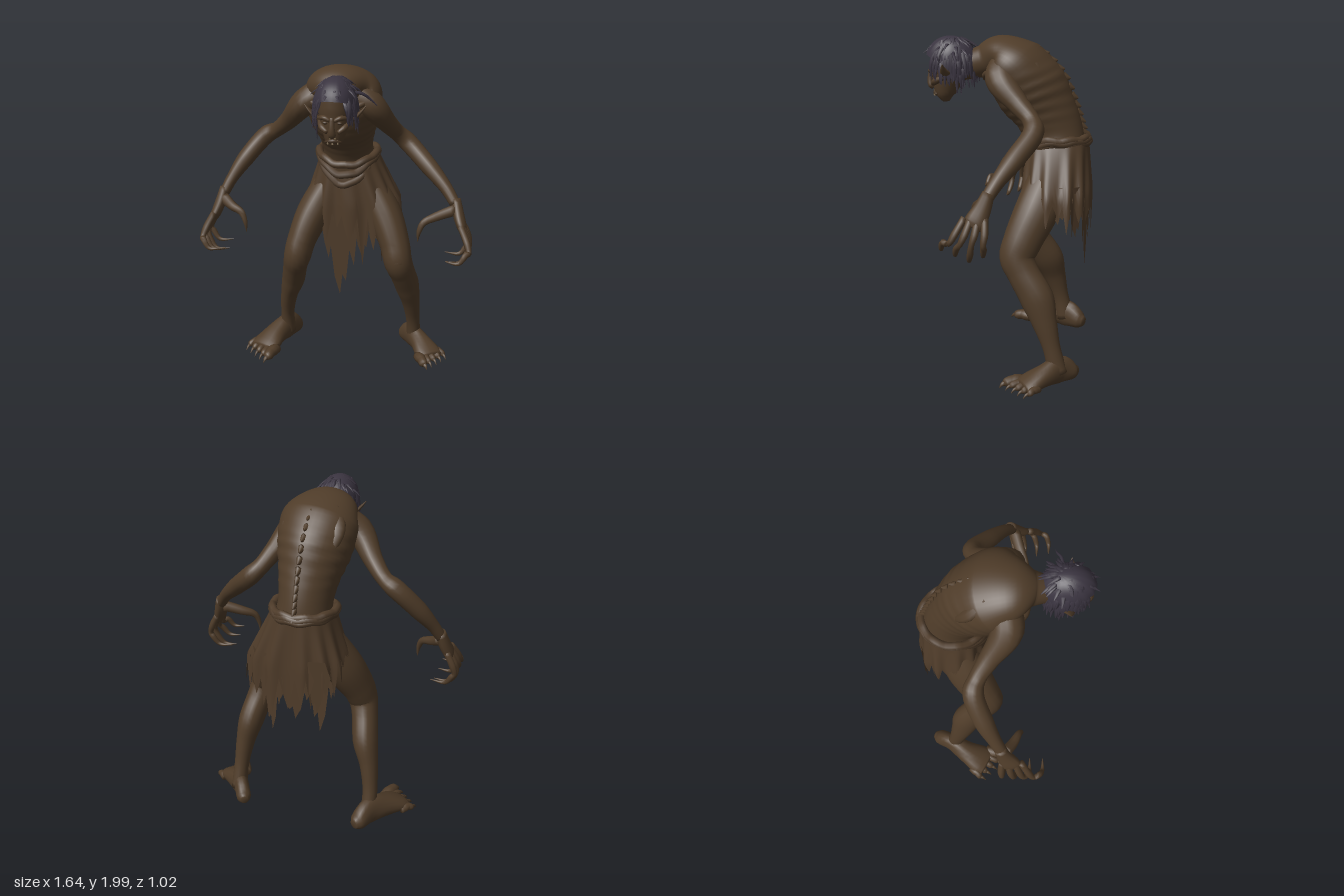
import * as THREE from 'three';

const V = (x, y, z) => new THREE.Vector3(x, y, z);
const X = V(1, 0, 0), Z = V(0, 0, 1);
const material = (name, color) => Object.assign(new THREE.MeshStandardMaterial({ color }), { name });

// Seeded random numbers
function seeded(seed) {
  return () => ((seed = (seed * 16807) % 2147483647) / 2147483647);
}

// Smooth closed body through oval sections [x, y, z, halfWidth, halfDepth]
function loft(pts, { ref = X, sides = 12, steps = 4, bump } = {}) {
  const path = new THREE.CatmullRomCurve3(pts.map(p => V(p[0], p[1], p[2])));
  const radii = new THREE.CatmullRomCurve3(pts.map(p => V(p[3], p[4] ?? p[3], 0)));
  const n = (pts.length - 1) * steps, pos = [], idx = [];
  for (let i = 0; i <= n; i++) {
    const t = i / n, c = path.getPoint(t), r = radii.getPoint(t), T = path.getTangent(t);
    const S = ref.clone().addScaledVector(T, -ref.dot(T)).normalize();
    const U = T.clone().cross(S);
    for (let j = 0; j < sides; j++) {
      const a = (j / sides) * Math.PI * 2, k = bump ? bump(a, t) : 1;
      const p = c.clone().addScaledVector(S, Math.cos(a) * r.x * k).addScaledVector(U, Math.sin(a) * r.y * k);
      pos.push(p.x, p.y, p.z);
      if (i < n) {
        const A = i * sides + j, B = i * sides + (j + 1) % sides;
        idx.push(A, B, A + sides, B, B + sides, A + sides);
      }
    }
  }
  const first = (n + 1) * sides, last = n * sides;
  for (const p of [path.getPoint(0), path.getPoint(1)]) pos.push(p.x, p.y, p.z);
  for (let j = 0; j < sides; j++) {
    const k = (j + 1) % sides;
    idx.push(first, k, j, first + 1, last + j, last + k);
  }
  const g = new THREE.BufferGeometry();
  g.setAttribute('position', new THREE.Float32BufferAttribute(pos, 3));
  g.setIndex(idx);
  g.computeVertexNormals();
  return g;
}

export function createModel() {
  const root = new THREE.Group();
  root.name = 'hunchedGhoul';
  const skin = material('skin', 0x4f3c29), hair = material('hair', 0x3a3440);
  const cloth = material('cloth', 0x4e3b29), bone = material('bone', 0x756348), dark = material('dark', 0x433222);
  cloth.side = hair.side = THREE.DoubleSide;
  const rand = seeded(77);
  const add = (name, geo, mat = skin, parent = root) => {
    const m = new THREE.Mesh(geo, mat);
    m.name = name;
    parent.add(m);
    return m;
  };
  const ball = (name, p, r, mat = skin) => {
    const m = add(name, new THREE.SphereGeometry(1, 14, 10), mat);
    m.position.set(...p);
    m.scale.set(...r);
  };

  // Torso and neck, with slanting ribs on the flanks and front
  add('torso', loft([
    [.02, 1.1, -.29, .15, .14], [.02, 1.28, -.285, .175, .175], [.01, 1.42, -.265, .155, .178],
    [.01, 1.55, -.21, .175, .19], [.01, 1.68, -.125, .215, .215], [.01, 1.8, -.03, .235, .195],
    [0, 1.865, .07, .185, .13], [.01, 1.84, .16, .1, .095], [.02, 1.81, .26, .068, .08], [.03, 1.79, .33, .06, .07],
  ], {
    sides: 44, steps: 9,
    bump: (a, t) => {
      const chest = Math.max(0, 1 - Math.abs(t - .4) / .16), flank = .35 + .65 * Math.abs(Math.cos(a));
      const spine = Math.exp(-(((a - Math.PI / 2) / .16) ** 2));
      return 1 + .02 * chest * flank * Math.sin(t * 125 + Math.sin(a) * 5) * (1 - spine) + .025 * spine * chest;
    },
  }));
  for (const s of [-1, 1]) {
    add('shoulderBlade', loft([[s * .1, 1.92, -.07, .03], [s * .14, 1.83, -.165, .05, .035], [s * .12, 1.7, -.26, .02]], { steps: 5 }));
    add('collarbone', loft([[s * .03, 1.74, .15, .012], [s * .12, 1.775, .13, .018], [s * .21, 1.81, .06, .015]], { ref: Z }));
  }

  // Pointed knobs along the spine
  const spine = new THREE.CatmullRomCurve3([[1.43, -.43], [1.52, -.405], [1.63, -.37], [1.76, -.315], [1.87, -.22], [1.95, -.1]].map(p => V(.01, ...p)));
  for (let i = 0; i < 12; i++) {
    const t = i / 12, p = spine.getPoint(t), T = spine.getTangent(t), out = V(0, T.z, -T.y);
    const k = .055 * (1 - .4 * t);
    const tip = p.clone().addScaledVector(out, k * .75).addScaledVector(T, -k * .5);
    add('spineKnob', loft([[p.x, p.y, p.z, .022, .034], [...tip.toArray(), .004]], { steps: 3, sides: 8 }));
  }

  // Head: skull, brow, nose, mouth, ears
  add('head', loft([
    [.03, 1.6, .385, .022, .02], [.03, 1.645, .39, .052, .06], [.03, 1.72, .38, .075, .09],
    [.03, 1.8, .36, .095, .12], [.03, 1.88, .345, .098, .13], [.03, 1.935, .335, .075, .095], [.03, 1.965, .33, .03, .04],
  ], { sides: 22 }));
  add('nose', loft([[.03, 1.79, .475, .012], [.03, 1.73, .482, .017], [.03, 1.695, .476, .022, .018], [.03, 1.68, .462, .012]], { sides: 10 }));
  add('mouth', loft([[-.015, 1.645, .435, .006], [.03, 1.655, .452, .013], [.075, 1.645, .435, .006]], { ref: Z }), dark);
  for (let i = 0; i < 5; i++) {
    const m = add('tooth', new THREE.ConeGeometry(.006, .026, 6), bone);
    m.position.set(.002 + i * .014, 1.65 + (i % 2) * .01, .458 - Math.abs(i - 2) * .004);
    m.rotation.z = i % 2 ? Math.PI : 0;
  }
  for (const s of [-1, 1]) {
    const x = v => .03 + s * v;
    add('brow', loft([[x(.012), 1.772, .475, .01], [x(.045), 1.787, .465, .018, .014], [x(.083), 1.775, .425, .009]], { ref: Z }));
    ball('eye', [x(.04), 1.757, .46], [.015, .008, .009], dark);
    add('cheekbone', loft([[x(.03), 1.705, .46, .012], [x(.06), 1.725, .435, .022, .018], [x(.085), 1.75, .38, .012]], { ref: Z }));
    add('ear', loft([[x(.075), 1.74, .35, .02, .012], [x(.11), 1.77, .36, .034, .013], [x(.145), 1.805, .37, .018, .008], [x(.17), 1.835, .37, .002]], { ref: Z }));
  }

  // Hair cap, hanging locks, tousled crown and one stray lock
  const cap = add('hairCap', new THREE.SphereGeometry(1, 36, 14, 0, Math.PI * 2, 0, Math.PI * .53), hair);
  const cp = cap.geometry.attributes.position;
  for (let i = 0; i < cp.count; i++) {
    const a = Math.atan2(cp.getZ(i), cp.getX(i)), k = 1 + .03 * Math.sin(a * 16);
    cp.setXYZ(i, cp.getX(i) * k, cp.getY(i), cp.getZ(i) * k);
  }
  cap.geometry.computeVertexNormals();
  cap.position.set(.03, 1.84, .35);
  cap.scale.set(.118, .148, .156);
  cap.rotation.x = -.36;
  for (let i = 0; i < 84; i++) {
    const a = (.24 + (i / 83) * 1.52) * Math.PI, dx = Math.sin(a), dz = Math.cos(a), front = dz > .5;
    const y = (dz > .3 ? 1.9 : 1.86) + (rand() - .5) * .08, len = .1 + rand() * (front || dz < -.5 ? .05 : .1);
    const r = Math.sqrt(1 - ((y - 1.845) / .15) ** 2);
    const q = (k, d, w) => [.03 + dx * .113 * k + dz * (rand() - .5) * .02, y - d * len, .348 + dz * .145 * k, w, w * .55];
    add('hairLock', loft([q(r * .85, -.15, .012), q(r * 1.02, .15, .018), q(1.04 + rand() * .06, .55, .013), q(1 + rand() * .16, 1, .002)],
      { ref: V(dz, 0, -dx), sides: 5, steps: 2 }), hair);
  }
  for (let i = 0; i < 44; i++) {
    const a = rand() * Math.PI * 2, k = .3 + rand() * .6, c = Math.sin(a), d = Math.cos(a);
    const q = (m, h, w) => [.03 + c * .115 * m, 1.845 + h, .335 + d * .148 * m, w, w * .4];
    const h = .138 * Math.sqrt(1 - k * k);
    add('crownLock', loft([q(k * .5, h, .01), q(k, h + .004, .013), q(k + .4, h - .03, .002)], { ref: V(d, 0, -c), sides: 5, steps: 2 }), hair);
  }
  add('strayLock', loft([[.1, 1.9, .32, .01], [.17, 1.89, .31, .009], [.21, 1.86, .29, .007], [.25, 1.82, .28, .002]], { ref: Z, sides: 6 }), hair);

  // Arms with long clawed hands
  const arms = {
    right: [[-.1, 1.83, .02, .09], [-.205, 1.765, .04, .09, .08], [-.32, 1.635, -.05, .06, .056], [-.41, 1.555, -.115, .05, .046],
      [-.48, 1.515, -.135, .06, .055], [-.6, 1.38, -.075, .057, .052], [-.68, 1.26, -.01, .04, .036], [-.72, 1.18, .03, .036, .032]],
    left: [[.1, 1.83, .02, .09], [.195, 1.755, .03, .09, .08], [.275, 1.63, -.08, .062, .058], [.33, 1.55, -.16, .052, .05],
      [.39, 1.49, -.185, .06, .057], [.53, 1.365, -.1, .058, .052], [.64, 1.26, -.02, .042, .038], [.7, 1.18, .03, .036, .032]],
  };
  for (const [side, path] of Object.entries(arms)) {
    const s = side === 'left' ? 1 : -1, wx = s * path[7][0], tip = s > 0 ? .49 : .56;
    add(side + 'Arm', loft(path, { ref: Z, sides: 16, steps: 5 }));
    add(side + 'Palm', loft([[s * wx, 1.21, .02, .034, .03], [s * (wx + .02), 1.13, .05, .05, .034], [s * (wx + .045), 1.06, .085, .062, .03], [s * (wx + .055), 1.03, .1, .05, .02]], { ref: Z }));
    for (let i = 0; i < 4; i++) {
      const f = i / 3, z = .035 + f * .11, low = .84 + .03 * Math.abs(i - 1);
      add(side + 'Finger', loft([
        [s * (wx + .04), 1.08, z, .02], [s * (wx + .08), 1.0, z - .005 + f * .05, .021], [s * (wx + .095), .945, z + f * .08, .016],
        [s * (wx + .08), low + .05, z + f * .11, .018], [s * (wx + .04), low, z + .01 + f * .12, .013], [s * (wx - .05 + f * .02), low + .005, z + .01 + f * .12, .002],
      ], { ref: Z, sides: 8 }));
    }
    add(side + 'Thumb', loft([[s * wx, 1.15, .05, .036], [s * (tip + .1), 1.115, .09, .032, .028], [s * (tip + .03), 1.085, .125, .021], [s * (tip + .005), 1.03, .14, .014], [s * tip, .97, .14, .002]], { ref: Z, sides: 8 }));
  }

  // Bent legs
  const legs = {
    right: [[-.08, 1.22, -.28, .1, .13], [-.19, 1.02, -.2, .108, .132], [-.265, .84, -.115, .092, .115], [-.29, .74, -.085, .088, .105],
      [-.315, .65, -.125, .078, .095], [-.345, .52, -.2, .076, .1], [-.385, .38, -.245, .056, .075], [-.41, .21, -.29, .045, .052], [-.41, .07, -.32, .048, .058]],
    left: [[.13, 1.22, -.28, .1, .13], [.25, 1.02, -.2, .108, .132], [.33, .84, -.12, .095, .115], [.355, .74, -.09, .09, .105],
      [.38, .65, -.13, .08, .095], [.41, .52, -.21, .077, .1], [.435, .38, -.26, .058, .075], [.45, .21, -.31, .045, .052], [.455, .07, -.345, .048, .058]],
  };
  for (const [side, path] of Object.entries(legs)) {
    const s = side === 'left' ? 1 : -1, end = path[8];
    add(side + 'Leg', loft(path, { sides: 18, steps: 5 }));
    ball(side + 'Kneecap', [path[3][0], .755, -.025], [.05, .06, .04]);
    const foot = new THREE.Group();
    foot.name = side + 'Foot';
    foot.position.set(end[0] - .012, 0, end[2]);
    foot.rotation.y = s > 0 ? .6 : -.44;
    foot.scale.setScalar(s > 0 ? .9 : 1);
    root.add(foot);
    add('footBody', loft([[0, .06, -.145, .025, .03], [0, .065, -.11, .05, .058], [0, .095, -.01, .054, .095], [s * .01, .08, .11, .074, .073], [s * .01, .052, .22, .1, .048], [s * .01, .038, .27, .092, .032]], { sides: 16 }), skin, foot);
    for (let i = 0; i < 5; i++) {
      const x = s * (-.075 + i * .042), l = .08 - i * .009, w = i ? .023 : .034, z = .25 - i * .008, e = x * 1.2;
      add('toe', loft([[x, .04, z - .03, w], [x * 1.1, .045, z + l * .5, w], [e, .036, z + l, w * .95], [e, .026, z + l + .018, w * .5]], { sides: 10 }), skin, foot);
      add('toeClaw', loft([[e, .034, z + l, w * .6], [e, .03, z + l + .03, w * .4], [e, .008, z + l + .052, .002]], { sides: 6 }), skin, foot);
    }
  }

  // Ragged skirt with random torn teeth, boxy enough to clear the thighs
  const teeth = 30, per = 6, rows = 10, cols = teeth * per, depth = Array.from({ length: teeth }, rand);
  const boxy = v => Math.sign(v) * Math.abs(v) ** .8;
  const pos = [], idx = [];
  for (let j = 0; j < cols; j++) {
    const a = (j / cols) * Math.PI * 2, f = Math.sin(a), u = (j % per) / per;
    const tooth = (1 - Math.abs(2 * u - 1)) * (.07 + (.1 + .2 * f * f) * depth[Math.floor(j / per)]);
    const left = Math.max(0, Math.cos(a)), hem = 1.13 - .11 * f * f - .08 * left - tooth;
    const top = 1.39 - .1 * Math.max(0, f) ** 3;
    for (let i = 0; i <= rows; i++) {
      const y = top + (hem - top) * i / rows, k = Math.min(1, (1.39 - y) / .3), fold = .012 * k * Math.sin(a * 13);
      const flare = .12 + .1 * left * Math.max(0, 1.1 - y);
      pos.push(.015 + .03 * k + (.175 + flare * k + fold) * boxy(Math.cos(a)), y, -.29 + (.185 + .018 * k + fold) * boxy(f));
      if (i < rows) {
        const A = j * (rows + 1) + i, B = ((j + 1) % cols) * (rows + 1) + i;
        idx.push(A, B, A + 1, B, B + 1, A + 1);
      }
    }
  }
  const skirt = new THREE.BufferGeometry();
  skirt.setAttribute('position', new THREE.Float32BufferAttribute(pos, 3));
  skirt.setIndex(idx);
  skirt.computeVertexNormals();
  add('skirt', skirt, cloth);

  // Hanging rags tucked under the skirt: [x, z, half width, top, bottom, turn]
  const edge = [[-.6, 0], [-1, .3], [-.85, .48], [-.62, .64], [-.5, .52], [-.3, .82], [0, 1], [.12, .8], [.32, .86], [.5, .55], [.75, .7], [.95, .3], [.6, 0]];
  for (const [x, z, w, top, bottom, turn] of [
    [-.02, -.125, .12, 1.16, .46, 0], [.12, -.13, .09, 1.15, .74, .15], [-.1, -.13, .08, 1.15, .86, -.15],
    [0, -.48, .12, 1.15, .76, 0], [.15, -.47, .08, 1.15, .65, -.2], [-.13, -.47, .08, 1.15, .82, .2],
    [.3, -.32, .09, 1.15, .93, 1.5], [.27, -.42, .07, 1.15, .85, 2.3],
  ]) {
    const m = add('rag', new THREE.ShapeGeometry(new THREE.Shape(edge.map(([u, v]) => new THREE.Vector2(u * w, (bottom - top) * v)))), cloth);
    m.position.set(x, top, z);
    m.rotation.y = turn;
  }

  // Rolled waist sash, its lower folds draping to a point at the front
  [[.185, .185, .05, .024], [.185, .192, .1, .024], [.18, .197, .15, .022]].forEach(([a, b, dip, r], n) => {
    const pts = Array.from({ length: 32 }, (_, i) => {
      const t = (i / 32) * Math.PI * 2, f = Math.sin(t);
      return V(.01 + a * Math.cos(t), 1.4 - n * .012 - dip * Math.max(0, f) ** 2.2 + .005 * Math.sin(t * 9 + n), -.28 + b * f);
    });
    add('sash', new THREE.TubeGeometry(new THREE.CatmullRomCurve3(pts, true), 72, r, 8, true), cloth);
  });
  return root;
}
